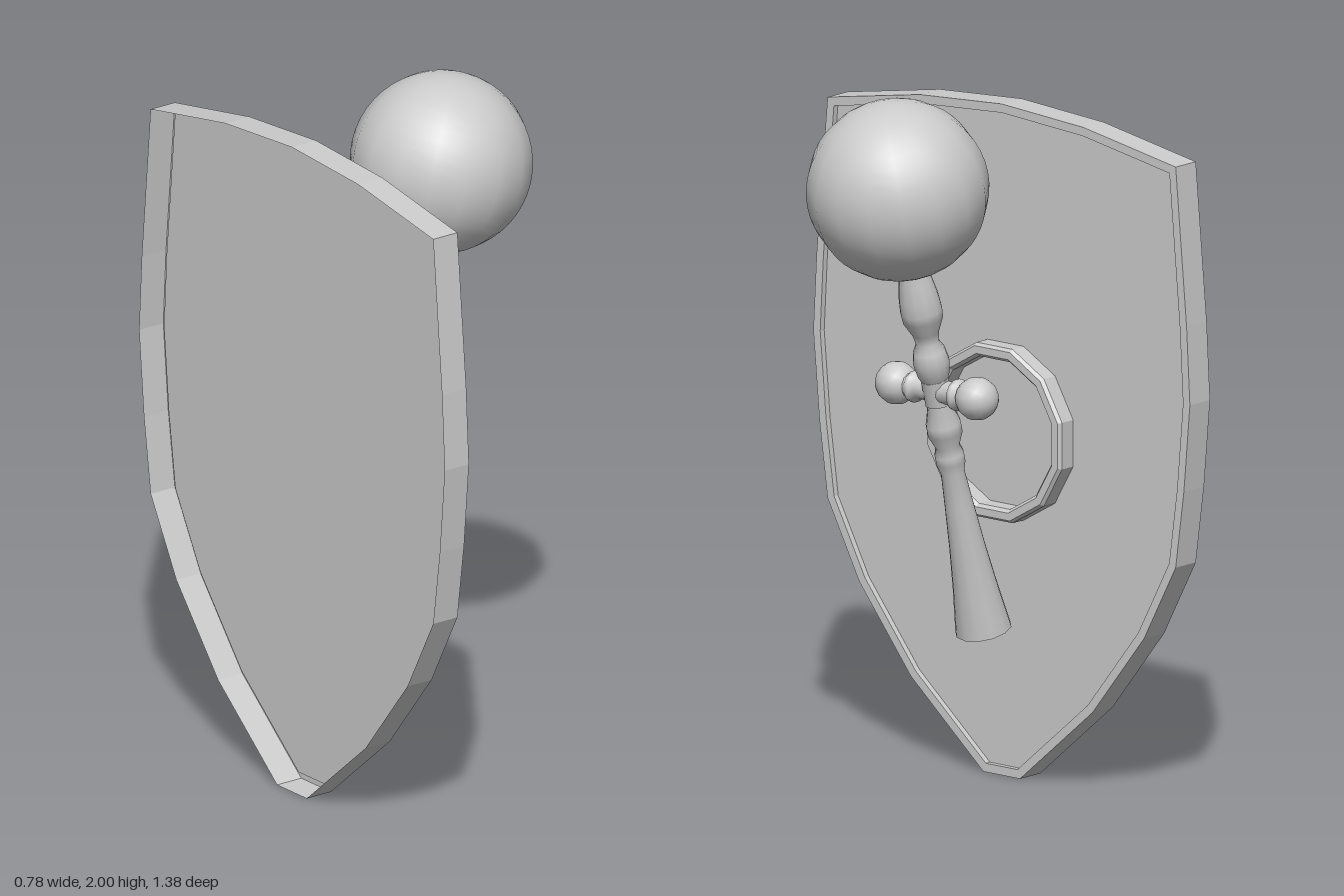
import * as THREE from 'three';

const V2 = (x, y) => new THREE.Vector2(x, y);
const smooth = new THREE.MeshStandardMaterial({ color: 0xcccccc, side: THREE.DoubleSide });
const faceted = new THREE.MeshStandardMaterial({ color: 0xcccccc, side: THREE.DoubleSide, flatShading: true });

function part(name, geometry, material, parent) {
  const mesh = new THREE.Mesh(geometry, material);
  mesh.name = name;
  parent.add(mesh);
  return mesh;
}

// Lathe from [radius, height] pairs
const lathe = (pairs, sides, phi = 0) =>
  new THREE.LatheGeometry(pairs.map(([r, h]) => V2(r, h)), sides, phi);

// Mitred inward offset of a counter-clockwise outline
function inset(points, d) {
  const n = points.length;
  return points.map((p, i) => {
    const a = p.clone().sub(points[(i + n - 1) % n]).normalize();
    const b = points[(i + 1) % n].clone().sub(p).normalize();
    const na = V2(-a.y, a.x), nb = V2(-b.y, b.x);
    return p.clone().addScaledVector(na.clone().add(nb), d / (1 + na.dot(nb)));
  });
}

// Quad strips joining successive closed loops, each { points, z }
function loft(loops) {
  const pos = [];
  for (let k = 0; k < loops.length - 1; k++) {
    const A = loops[k], B = loops[k + 1], n = A.points.length;
    for (let i = 0; i < n; i++) {
      const j = (i + 1) % n;
      const v = (L, m) => [L.points[m].x, L.points[m].y, L.z];
      pos.push(...v(A, i), ...v(A, j), ...v(B, j), ...v(A, i), ...v(B, j), ...v(B, i));
    }
  }
  const g = new THREE.BufferGeometry();
  g.setAttribute('position', new THREE.Float32BufferAttribute(pos, 3));
  g.computeVertexNormals();
  return g;
}

export function createModel() {
  const model = new THREE.Group();
  model.name = 'shieldWallLamp';

  // Shield backplate: drawn in local XY, its local z becomes world x
  const shield = new THREE.Group();
  shield.name = 'shield';
  shield.rotation.y = Math.PI / 2;
  model.add(shield);

  const half = [[0.067, 0], [0.333, 0.23], [0.522, 0.47], [0.638, 0.69], [0.668, 0.91],
    [0.69, 1.16], [0.678, 1.38], [0.638, 1.83], [0.3, 1.89]];
  const outline = [
    ...half.map(([x, y]) => V2(x, y)),
    V2(0, 1.91),
    ...half.slice().reverse().map(([x, y]) => V2(-x, y)),
  ];
  const inner = inset(outline, 0.025);
  const back = -0.39, front = -0.305, panelZ = -0.322;

  // Outer wall, narrow front rim and step down to the panel; the back is open
  part('shieldRim', loft([
    { points: outline, z: back }, { points: outline, z: front },
    { points: inner, z: front }, { points: inner, z: panelZ },
  ]), faceted, shield);
  part('shieldPanel', new THREE.ShapeGeometry(new THREE.Shape(inner)), faceted, shield)
    .position.z = panelZ;

  // Raised twelve-sided ring on the panel
  const ring = part('mountingRing', lathe([
    [0.256, panelZ], [0.256, -0.275], [0.248, -0.265],
    [0.226, -0.265], [0.217, -0.275], [0.217, panelZ],
  ], 12, Math.PI / 12), faceted, shield);
  ring.rotation.x = Math.PI / 2;
  ring.position.y = 0.98;

  // Leaning torch: local y runs along the handle
  const torch = new THREE.Group();
  torch.name = 'torch';
  torch.position.set(-0.228, 0.43, 0);
  torch.rotation.z = -Math.atan2(0.362, 1.315);
  model.add(torch);

  part('handle', lathe([
    [0.08, 0], [0.064, 0.13], [0.051, 0.26], [0.041, 0.39], [0.034, 0.49],
    [0.042, 0.52], [0.042, 0.545], [0.034, 0.57], [0.05, 0.61], [0.05, 0.64],
    [0.036, 0.69], [0.036, 0.78],
  ], 12), smooth, torch);
  part('upperStem', lathe([
    [0.036, 0.77], [0.046, 0.795], [0.052, 0.83], [0.046, 0.865], [0.033, 0.89],
    [0.038, 0.92], [0.058, 0.965], [0.06, 0.99], [0.057, 1.03], [0.048, 1.08],
    [0.036, 1.13], [0.034, 1.17],
  ], 12), smooth, torch);
  const globe = part('globe', new THREE.SphereGeometry(0.255, 16, 24), smooth, torch);
  globe.position.y = Math.hypot(0.362, 1.315);

  // Crosspiece with a collar and ball on each side
  const cross = new THREE.Group();
  cross.name = 'crosspiece';
  cross.position.y = 0.74;
  torch.add(cross);
  part('hub', new THREE.CylinderGeometry(0.04, 0.04, 0.075, 12), smooth, cross);
  for (const side of [1, -1]) {
    const arm = part('crossArm', lathe([
      [0.034, 0], [0.032, 0.06], [0.045, 0.072], [0.045, 0.085], [0.036, 0.095], [0.036, 0.12],
    ], 12), smooth, cross);
    arm.rotation.x = side * Math.PI / 2;
    const ball = part('crossBall', new THREE.SphereGeometry(0.061, 14, 12), smooth, cross);
    ball.rotation.x = Math.PI / 2;
    ball.position.z = side * 0.147;
  }
  return model;
}
